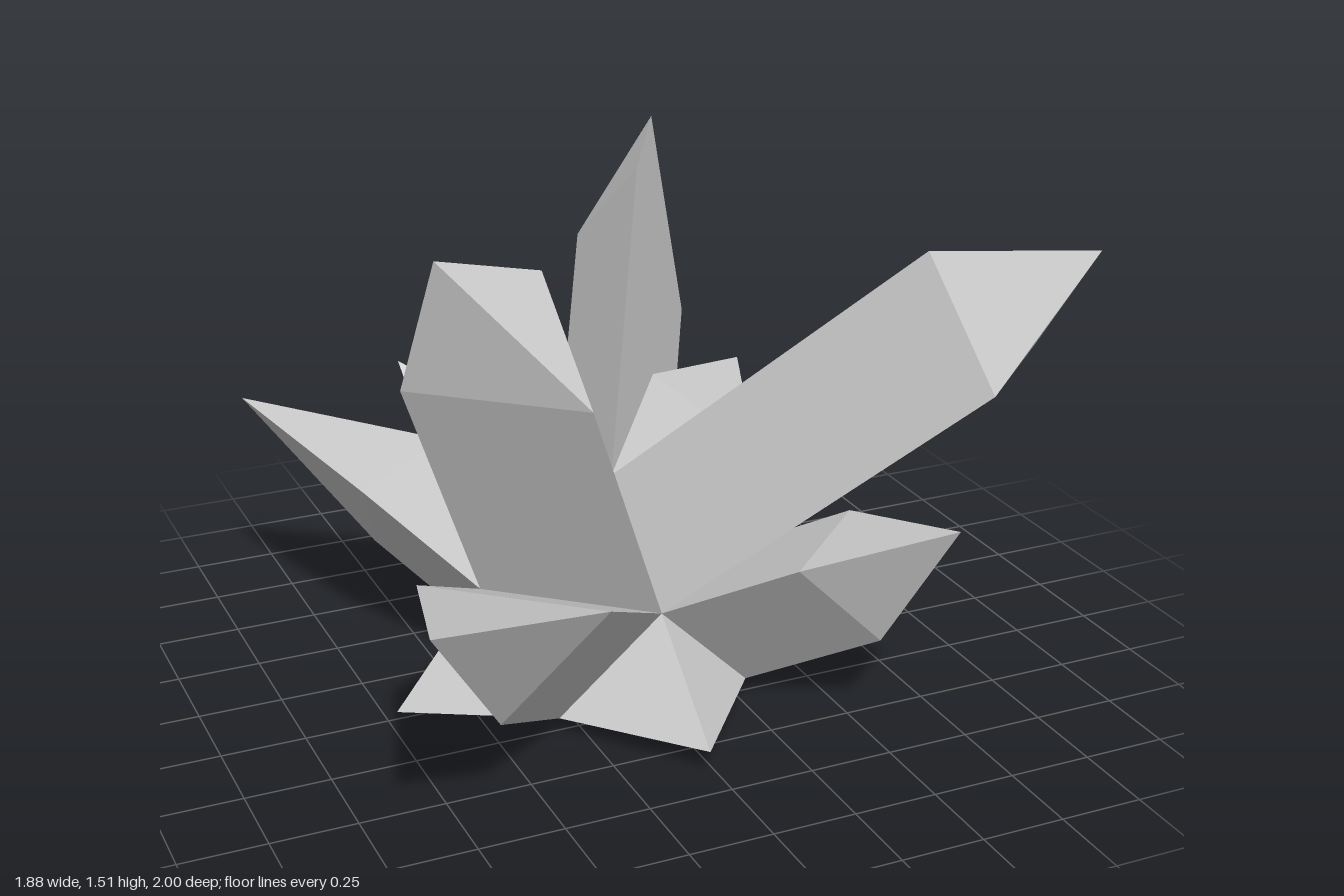
import * as THREE from 'three';

const material = new THREE.MeshStandardMaterial({ color: 0xcccccc, flatShading: true, side: THREE.DoubleSide });

// Corners of the faceted core that the crystals grow from
const top = [-0.02, 0.64, -0.04];
const front = [-0.02, 0.35, 0.32];
const right = [0.31, 0.35, 0.01];
const back = [-0.09, 0.35, -0.35];
const left = [-0.44, 0.35, -0.04];
const footFL = [-0.32, 0.05, 0.27];
const footFR = [0.28, 0.05, 0.27];
const footBL = [-0.32, 0.045, -0.34];
const footBR = [0.28, 0.045, -0.34];

function facetMesh(name, triangles) {
  const geometry = new THREE.BufferGeometry();
  geometry.setAttribute('position', new THREE.Float32BufferAttribute(triangles.flat(2), 3));
  geometry.computeVertexNormals();
  const mesh = new THREE.Mesh(geometry, material);
  mesh.name = name;
  return mesh;
}

// Three-sided crystal: base triangle (counter-clockwise from outside) pushed
// along an offset, then closed to a tip. Without an offset it is a plain spike.
function crystal(name, base, tip, offset) {
  const triangles = [];
  const rim = offset ? base.map((p) => p.map((v, i) => v + offset[i])) : base;
  for (let i = 0; i < 3; i++) {
    const j = (i + 1) % 3;
    if (offset) triangles.push([base[i], base[j], rim[j]], [base[i], rim[j], rim[i]]);
    triangles.push([rim[i], rim[j], tip]);
  }
  return facetMesh(name, triangles);
}

export function createModel() {
  const group = new THREE.Group();
  group.name = 'crystalCluster';
  group.add(
    // Upper crystals
    crystal('tallFrontRightCrystal', [top, front, right], [0.92, 1.51, 0.98], [0.63, 0.81, 0.68]),
    crystal('tallFrontLeftCrystal', [top, left, front], [-0.64, 1.46, 0.22], [-0.26, 0.705, 0.12]),
    crystal('tallBackRightCrystal', [top, footBR, back], [0.51, 1.46, -0.93], [0.32, 0.76, -0.535]),
    crystal('backLeftSpike', [top, back, left], [-0.51, 0.91, -0.52]),
    // Lower crystals
    crystal('lowBackRightCrystal', [top, right, footBR], [0.62, 0.76, -0.5], [0.225, 0.215, -0.2]),
    crystal('lowFrontRightCrystal', [front, footFR, right], [0.7, 0.65, 0.74], [0.28, 0.21, 0.3]),
    crystal('lowFrontLeftCrystal', [left, footFL, front], [-0.94, 0.77, 0.98], [-0.31, 0.23, 0.35]),
    crystal('lowBackLeftCrystal', [back, footBL, left], [-0.89, 0.7, -0.94], [-0.25, 0.23, -0.3]),
    // Crystals lying along the ground
    crystal('frontGroundSpike', [front, footFL, footFR], [-0.02, 0.07, 0.65]),
    crystal('rightGroundSpike', [right, footFR, footBR], [0.78, 0.08, -0.03]),
    crystal('leftGroundSpike', [left, footBL, footFL], [-0.71, 0, -0.04]),
    crystal('backGroundCrystal', [back, footBR, footBL], [-0.04, 0.14, -1], [0, -0.005, -0.395]),
    // Underside
    facetMesh('underside', [[footFL, footBL, footBR], [footFL, footBR, footFR]]),
  );
  return group;
}
